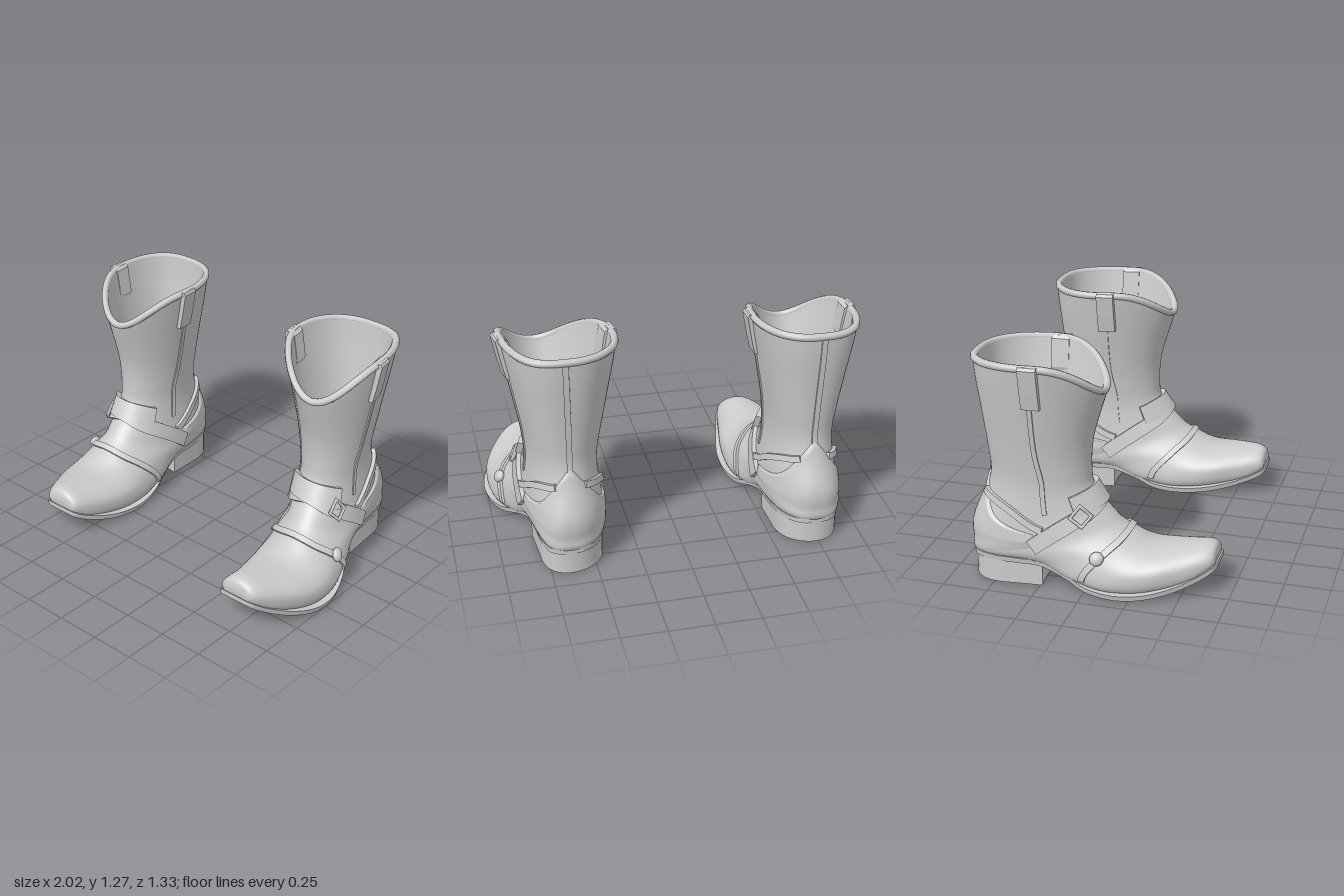
import * as THREE from 'three';
import { toCreasedNormals } from 'three/addons/utils/BufferGeometryUtils.js';

const V = (x, y, z) => new THREE.Vector3(x, y, z);
const material = new THREE.MeshStandardMaterial({ color: 0xcccccc });
const thinMaterial = new THREE.MeshStandardMaterial({ color: 0xcccccc, side: THREE.DoubleSide });

// Leather sections fanning from shaft top to toe:
// front z, front y, back z, back y, half width, squareness of the rear or lower half
const SECTIONS = [
  [0.075, 1.25, -0.61, 1.25, 0.28, 0.3],
  [0.06, 1.13, -0.6, 1.12, 0.259, 0.3],
  [0.02, 0.93, -0.58, 0.94, 0.225, 0.25],
  [-0.01, 0.74, -0.56, 0.76, 0.195, 0.2],
  [-0.012, 0.61, -0.55, 0.61, 0.18, 0.1],
  [0.0, 0.54, -0.58, 0.48, 0.18, 0],
  [0.05, 0.46, -0.64, 0.33, 0.192, 0.1],
  [0.105, 0.4, -0.648, 0.22, 0.203, 0.25],
  [0.16, 0.345, -0.62, 0.135, 0.212, 0.4],
  [0.24, 0.295, -0.3, 0.13, 0.215, 0.75],
  [0.3, 0.262, -0.1, 0.07, 0.228, 1],
  [0.36, 0.245, 0.08, 0.02, 0.238, 1],
  [0.45, 0.248, 0.26, 0.014, 0.222, 1],
  [0.54, 0.257, 0.42, 0.036, 0.182, 1],
  [0.61, 0.262, 0.55, 0.08, 0.144, 1],
  [0.65, 0.245, 0.63, 0.125, 0.112, 0.8],
  [0.663, 0.2, 0.657, 0.15, 0.085, 0.5],
];
const LAST = SECTIONS.length - 1;
const fronts = new THREE.CatmullRomCurve3(SECTIONS.map(s => V(s[4], s[1], s[0])), false, 'catmullrom');
const backs = new THREE.CatmullRomCurve3(SECTIONS.map(s => V(s[5], s[3], s[2])), false, 'catmullrom');

// Point on the leather: s runs down the sections, t goes round from the front
function skin(s, t) {
  const u = THREE.MathUtils.clamp(s / LAST, 0, 1);
  const f = fronts.getPoint(u), b = backs.getPoint(u);
  const c = Math.cos(t), sn = Math.sin(t), k = THREE.MathUtils.clamp(b.x, 0, 1);
  const power = c < 0 ? 1 - 0.74 * k : 1;
  const dip = 0.175 * Math.max(0, 1 - s / 2.6) * Math.pow(Math.max(0, c), 2.7);
  return V(
    f.x * Math.sign(sn) * Math.pow(Math.abs(sn), power) * (1 - 0.14 * k * c),
    (f.y + b.y) / 2 + (f.y - b.y) / 2 * c - dip,
    (f.z + b.z) / 2 + (f.z - b.z) / 2 * c);
}

function skinNormal(s, t) {
  const e = 0.03, a = Math.max(0, s - e), b = Math.min(LAST, s + e);
  const ds = skin(b, t).sub(skin(a, t));
  const dt = skin(s, t + e).sub(skin(s, t - e));
  return dt.cross(ds).negate().normalize();
}

const raised = (s, t, lift) => skin(s, t).addScaledVector(skinNormal(s, t), lift);

// Nearest [s, t] on the +x side for a side-on position
function locate(z, y) {
  let best = 1e9, hit;
  for (let i = 0; i <= 160; i++) for (let j = 0; j <= 60; j++) {
    const s = i / 160 * LAST, t = j / 60 * Math.PI, p = skin(s, t);
    const d = (p.z - z) ** 2 + (p.y - y) ** 2;
    if (d < best) { best = d; hit = [s, t]; }
  }
  return hit;
}

// Surface through rings of points
function loft(rings, { closed = true, startCap = false, endCap = false } = {}) {
  const m = rings[0].length, pos = [], idx = [];
  rings.forEach(r => r.forEach(p => pos.push(p.x, p.y, p.z)));
  for (let i = 0; i < rings.length - 1; i++) for (let j = 0; j < (closed ? m : m - 1); j++) {
    const a = i * m + j, b = i * m + (j + 1) % m;
    idx.push(a, b, a + m, b, b + m, a + m);
  }
  const cap = (i, flip) => {
    const c = rings[i].reduce((q, p) => q.add(p), V(0, 0, 0)).divideScalar(m);
    const n = pos.length / 3;
    pos.push(c.x, c.y, c.z);
    for (let j = 0; j < m; j++) {
      const a = i * m + j, b = i * m + (j + 1) % m;
      idx.push(n, flip ? b : a, flip ? a : b);
    }
  };
  if (startCap) cap(0, true);
  if (endCap) cap(rings.length - 1, false);
  const g = new THREE.BufferGeometry();
  g.setAttribute('position', new THREE.Float32BufferAttribute(pos, 3));
  g.setIndex(idx);
  g.computeVertexNormals();
  return g;
}

// Flat strap following [s, t] points over the leather
function strap(points, width, lift, steps = 40) {
  const curve = new THREE.CatmullRomCurve3(points.map(p => V(p[0], p[1], 0)));
  const at = u => { const q = curve.getPoint(THREE.MathUtils.clamp(u, 0, 1)); return skin(q.x, q.y); };
  const rings = [];
  for (let i = 0; i <= steps; i++) {
    const u = i / steps, q = curve.getPoint(u), p = skin(q.x, q.y), n = skinNormal(q.x, q.y);
    const dir = at(u + 0.02).sub(at(u - 0.02)).normalize();
    const side = n.clone().cross(dir).normalize();
    rings.push([[1, lift], [-1, lift], [-1, -0.015], [1, -0.015]].map(([a, h]) =>
      p.clone().addScaledVector(side, a * width / 2).addScaledVector(n, h)));
  }
  return toCreasedNormals(loft(rings, { startCap: true, endCap: true }), 0.7);
}

const overFront = pts => [...pts.slice(1).reverse().map(([s, t]) => [s, -t]), ...pts];

function makeBoot(name, out, line, girth) {
  const boot = new THREE.Group();
  boot.name = name;
  const zs = [-0.65, -0.27, 0.15, 0.66];
  const centre = z => zs.reduce((sum, a, i) =>
    sum + line[i] * zs.reduce((f, b, j) => j === i ? f : f * (z - b) / (a - b), 1), 0);
  // Every part follows the centre line of its foot and the girth of its shaft
  const add = (part, geometry, mat = material) => {
    const p = geometry.attributes.position;
    for (let i = 0; i < p.count; i++) {
      const wide = 1 + girth * THREE.MathUtils.smoothstep(p.getY(i), 0.4, 0.9);
      p.setX(i, p.getX(i) * wide + centre(p.getZ(i)));
    }
    const mesh = new THREE.Mesh(geometry, mat);
    mesh.name = part;
    boot.add(mesh);
  };
  const ring = (s, lift, dir) => Array.from({ length: 64 }, (_, j) => {
    const t = dir * j / 64 * Math.PI * 2;
    return lift ? raised(s, t, lift) : skin(s, t);
  });

  // Leather upper and lining
  add('upper', loft(Array.from({ length: 81 }, (_, i) => ring(i / 80 * LAST, 0, -1)), { endCap: true }));
  add('lining', loft(Array.from({ length: 31 }, (_, i) => ring(i / 30 * 7.4, -0.028, 1)), { endCap: true }), thinMaterial);
  const rim = new THREE.CatmullRomCurve3(Array.from({ length: 40 }, (_, j) =>
    raised(0, j / 40 * Math.PI * 2, -0.01)), true);
  add('rim', new THREE.TubeGeometry(rim, 90, 0.02, 8, true));

  // Heel counter, peaked at the back and blending into the foot below
  const patch = [];
  for (let i = 0; i <= 20; i++) {
    const row = [];
    for (let j = 0; j <= 36; j++) {
      const a = (j / 36 * 2 - 1) * 1.6, top = 4 + Math.abs(a) / 1.6 * 3;
      const edge = i === 0 || j === 0 || j === 36;
      const lift = 0.016 * Math.min(1, (20 - i) / 10) - 0.003;
      row.push(raised(top + (8 - top) * i / 20, Math.PI - a, edge ? -0.004 : lift));
    }
    patch.push(row);
  }
  add('heelCounter', loft(patch, { closed: false }), thinMaterial);

  // Harness straps
  add('instepStrap', strap(overFront([[5.75, 0], locate(-0.02, 0.42), locate(-0.14, 0.34), locate(-0.27, 0.25)]), 0.085, 0.024, 60));
  add('instepPad', strap([[5.75, -0.85], [5.6, -0.45], [5.55, 0], [5.6, 0.45], [5.75, 0.85]], 0.115, 0.032));
  add('vampStrap', strap(overFront([[8.5, 0], locate(0.15, 0.27), locate(0.08, 0.2), locate(0, 0.09)]), 0.035, 0.014, 60));
  const heelPath = [locate(-0.22, 0.34), locate(-0.36, 0.41), locate(-0.47, 0.46), locate(-0.55, 0.5)];
  for (const side of [1, -1]) {
    add('heelStrap', strap(heelPath.map(([s, t]) => [s, side * t]), 0.035, 0.022));
  }

  // Seams
  for (const side of [1, -1]) {
    const seam = [locate(-0.25, 1.06), locate(-0.25, 0.8), locate(-0.23, 0.6), locate(-0.2, 0.42)];
    add('sideSeam', strap(seam.map(([s, t]) => [s, side * t]), 0.025, 0.007));
  }
  add('backSeam', strap([[0.1, Math.PI], [2, Math.PI], [4.2, Math.PI]], 0.03, 0.007));

  // Buckle and stud on the outer side
  const place = (geometry, z, y, lift, roll = 0) => {
    const [s, t] = locate(z, y), n = skinNormal(s, out * t);
    geometry.rotateZ(roll);
    geometry.applyQuaternion(new THREE.Quaternion().setFromUnitVectors(V(0, 0, 1), n));
    const p = raised(s, out * t, lift);
    return geometry.translate(p.x, p.y, p.z);
  };
  add('buckle', place(new THREE.TorusGeometry(0.056, 0.012, 6, 4), -0.03, 0.41, 0.034, out * 0.2));
  add('stud', place(new THREE.SphereGeometry(0.038, 12, 8).scale(1, 1, 0.65), 0.08, 0.21, 0.016));

  // Pull straps folded over the rim
  for (const side of [1, -1]) {
    const outline = [[0.235, 1.03], [0.258, 1.03], [0.278, 1.12], [0.302, 1.25], [0.294, 1.266],
      [0.255, 1.266], [0.238, 1.25], [0.215, 1.1]];
    const shape = new THREE.Shape(outline.map(([x, y]) => new THREE.Vector2(side * x, y)));
    add('pullStrap', new THREE.ExtrudeGeometry(shape, { depth: 0.095, bevelEnabled: false }).translate(0, 0, -0.295));
  }

  // Sole: half width, underside height, z
  const soleLine = new THREE.CatmullRomCurve3([
    [0.06, 0.128, -0.645], [0.125, 0.128, -0.605], [0.175, 0.128, -0.5], [0.188, 0.127, -0.37],
    [0.187, 0.12, -0.24], [0.205, 0.07, -0.1], [0.242, 0.022, 0.02], [0.263, 0.004, 0.17],
    [0.25, 0.012, 0.32], [0.205, 0.04, 0.46], [0.15, 0.085, 0.58], [0.115, 0.125, 0.65],
    [0.08, 0.14, 0.67]].map(p => V(...p)));
  add('sole', toCreasedNormals(loft(soleLine.getPoints(60).map(p => [
    V(p.x, p.y + 0.03, p.z), V(-p.x, p.y + 0.03, p.z), V(-p.x * 0.97, p.y, p.z), V(p.x * 0.97, p.y, p.z),
  ]), { startCap: true, endCap: true }), 0.6));

  // Stacked heel
  const heel = new THREE.Shape();
  heel.moveTo(-0.165, 0.235);
  heel.quadraticCurveTo(0, 0.265, 0.165, 0.235);
  heel.lineTo(0.172, 0.45);
  heel.bezierCurveTo(0.172, 0.705, -0.172, 0.705, -0.172, 0.45);
  const heelGeometry = new THREE.ExtrudeGeometry(heel, { depth: 0.135, bevelEnabled: false, curveSegments: 20 });
  add('heel', toCreasedNormals(heelGeometry.rotateX(-Math.PI / 2), 0.6));
  return boot;
}

export function createModel() {
  const model = new THREE.Group();
  model.name = 'boots';
  // Centre line x at the heel, shaft, ball and toe; extra shaft girth
  model.add(makeBoot('leftBoot', 1, [0.645, 0.632, 0.733, 0.71], 0.06));
  model.add(makeBoot('rightBoot', -1, [-0.735, -0.703, -0.68, -0.605], 0));
  return model;
}
